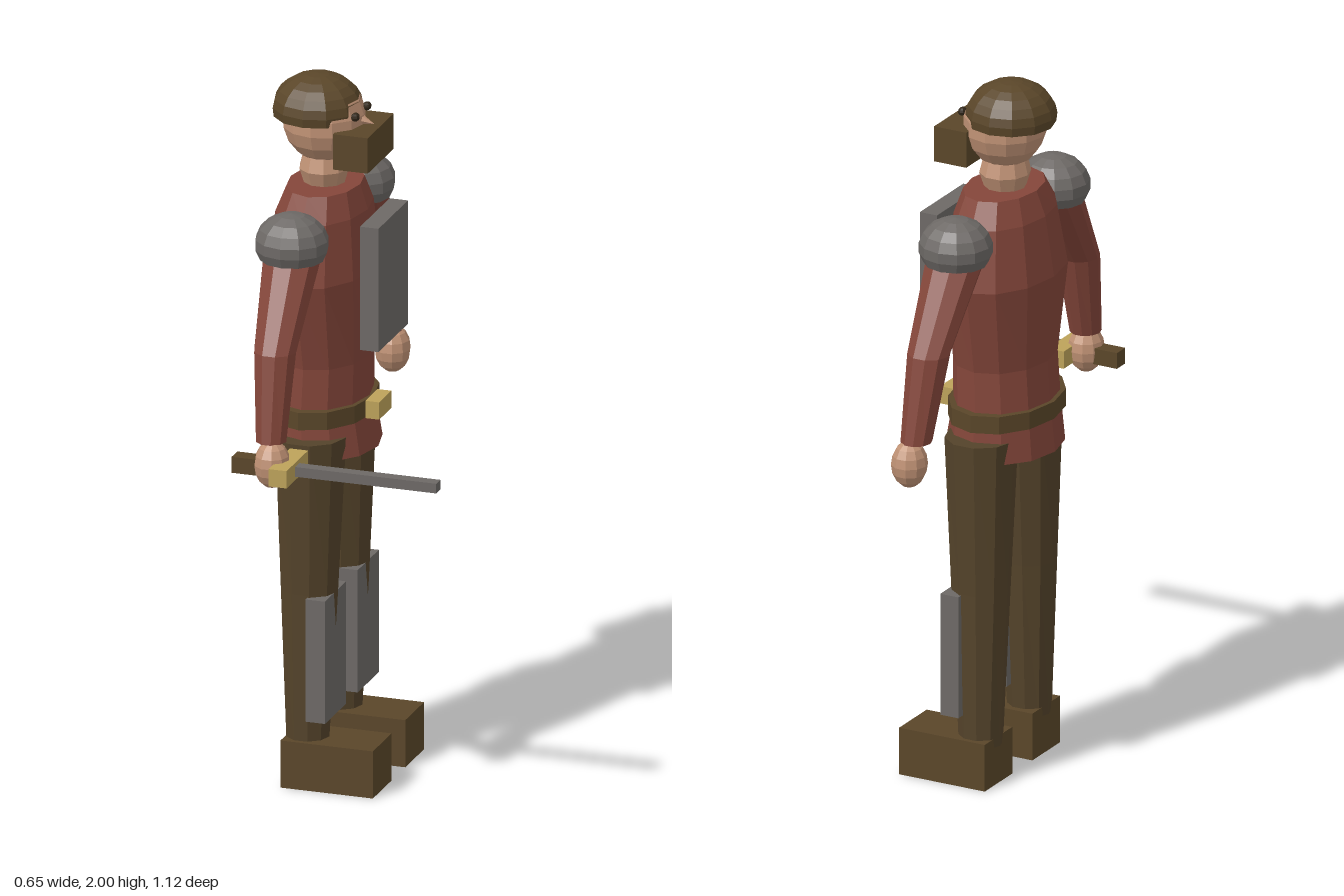
import * as THREE from 'three';

const MID = -0.0165; // z of the body's plane of symmetry (the figure looks along +x)

const paint = (name, color) => {
  const m = new THREE.MeshStandardMaterial({ color });
  m.name = name;
  m.flatShading = true;
  m.side = THREE.DoubleSide;
  return m;
};

// Closed skin over horizontal elliptical rings [y, x, z, radiusX, radiusZ], listed bottom to top
function loft(rings, sides) {
  const pos = [], index = [];
  for (const [y, x, z, rx, rz] of rings) {
    for (let j = 0; j < sides; j++) {
      const a = (j / sides) * Math.PI * 2;
      pos.push(x + rx * Math.cos(a), y, z + rz * Math.sin(a));
    }
  }
  const low = rings[0], high = rings[rings.length - 1];
  pos.push(low[1], low[0], low[2], high[1], high[0], high[2]);
  const n = rings.length * sides, topRow = n - sides;
  for (let j = 0; j < sides; j++) {
    const k = (j + 1) % sides;
    for (let i = 0; i < topRow; i += sides) {
      index.push(i + j, i + sides + k, i + k, i + j, i + sides + j, i + sides + k);
    }
    index.push(n, j, k, n + 1, topRow + k, topRow + j);
  }
  const g = new THREE.BufferGeometry();
  g.setAttribute('position', new THREE.Float32BufferAttribute(pos, 3));
  g.setIndex(index);
  const flat = g.toNonIndexed();
  flat.computeVertexNormals();
  return flat;
}

export function createModel() {
  const model = new THREE.Group();
  model.name = 'guard';

  const skin = paint('skin', 0xc09275);
  const red = paint('red cloth', 0x84463a);
  const brown = paint('brown leather', 0x5a4629);
  const trouser = paint('brown trousers', 0x54432a);
  const steel = paint('steel', 0x6d6966);
  const gold = paint('brass', 0xbda25a);
  const dark = paint('eye', 0x33281a);

  const add = (name, geometry, material) => {
    const m = new THREE.Mesh(geometry, material);
    m.name = name;
    model.add(m);
    return m;
  };
  // Box from its lower and upper limits along x and y, with z centre and width
  const box = (name, mat, x0, x1, y0, y1, z, width) => {
    const m = add(name, new THREE.BoxGeometry(x1 - x0, y1 - y0, width), mat);
    m.position.set((x0 + x1) / 2, (y0 + y1) / 2, z);
    return m;
  };
  const ball = (name, mat, x, y, z, rx, ry, rz, w = 12, h = 8, theta = Math.PI) => {
    const m = add(name, new THREE.SphereGeometry(1, w, h, 0, Math.PI * 2, 0, theta), mat);
    m.position.set(x, y, z);
    m.scale.set(rx, ry, rz);
    return m;
  };

  // Tunic and belt
  add('tunic', loft([
    [0.94, -0.175, MID, 0.155, 0.188],
    [1.08, -0.18, MID, 0.135, 0.178],
    [1.2, -0.175, MID, 0.132, 0.175],
    [1.45, -0.18, MID, 0.147, 0.226],
    [1.62, -0.175, MID, 0.125, 0.19],
    [1.69, -0.172, MID, 0.1, 0.148],
  ], 12), red);
  add('belt', loft([
    [1.035, -0.18, MID, 0.147, 0.203],
    [1.085, -0.18, MID, 0.147, 0.203],
  ], 12), brown);
  box('beltBuckle', gold, -0.04, 0, 1.035, 1.085, MID, 0.1);
  box('chestPlate', steel, -0.03, 0.023, 1.257, 1.613, MID, 0.242);

  // Neck and head
  add('neck', loft([
    [1.67, -0.175, MID, 0.052, 0.052],
    [1.73, -0.175, MID, 0.07, 0.075],
    [1.79, -0.175, MID, 0.055, 0.058],
  ], 10), skin);
  ball('head', skin, -0.175, 1.87, MID, 0.115, 0.122, 0.115, 12, 9);
  ball('hair', brown, -0.194, 1.9, MID, 0.125, 0.097, 0.126, 12, 7, Math.PI * 0.57);
  box('beard', brown, -0.113, -0.013, 1.763, 1.865, MID, 0.213);
  const nose = add('nose', new THREE.ConeGeometry(0.02, 0.055, 6), skin);
  nose.rotation.z = -Math.PI / 2 - 0.25;
  nose.position.set(-0.058, 1.875, MID);

  for (const s of [1, -1]) {
    const side = s > 0 ? 'right' : 'left';
    const z = (offset) => MID + s * offset;

    ball(side + 'Eye', dark, -0.069, 1.9, z(0.048), 0.012, 0.012, 0.016, 8, 6);

    // Arm
    add(side + 'Sleeve', loft([
      [1.1, -0.162, z(0.473), 0.043, 0.046],
      [1.34, -0.17, z(0.418), 0.06, 0.058],
      [1.56, -0.172, z(0.275), 0.082, 0.08],
      [1.63, -0.172, z(0.255), 0.06, 0.06],
    ], 10), red);
    ball(side + 'ShoulderGuard', steel, -0.173, 1.6, z(0.273), 0.103, 0.086, 0.1, 12, 6, Math.PI * 0.67);
    ball(side + 'Hand', skin, -0.152, 1.04, z(0.494), 0.05, 0.067, 0.053, 10, 8);

    // Leg
    add(side + 'TrouserLeg', loft([
      [0.11, -0.175, z(0.136), 0.06, 0.062],
      [0.56, -0.172, z(0.13), 0.082, 0.08],
      [1.0, -0.17, z(0.124), 0.1, 0.105],
    ], 10), trouser);
    box(side + 'ShinGuard', steel, -0.152, -0.096, 0.203, 0.556, z(0.134), 0.174);
    box(side + 'Boot', brown, -0.228, 0.038, 0, 0.136, z(0.133), 0.154);
  }

  // Sword held forward
  const swordZ = 0.474;
  box('swordGrip', brown, -0.262, -0.13, 1.008, 1.054, swordZ, 0.046);
  box('swordGuard', gold, -0.133, -0.081, 1.006, 1.056, swordZ, 0.176);
  box('swordBlade', steel, -0.081, 0.325, 1.016, 1.044, swordZ, 0.034);

  return model;
}
